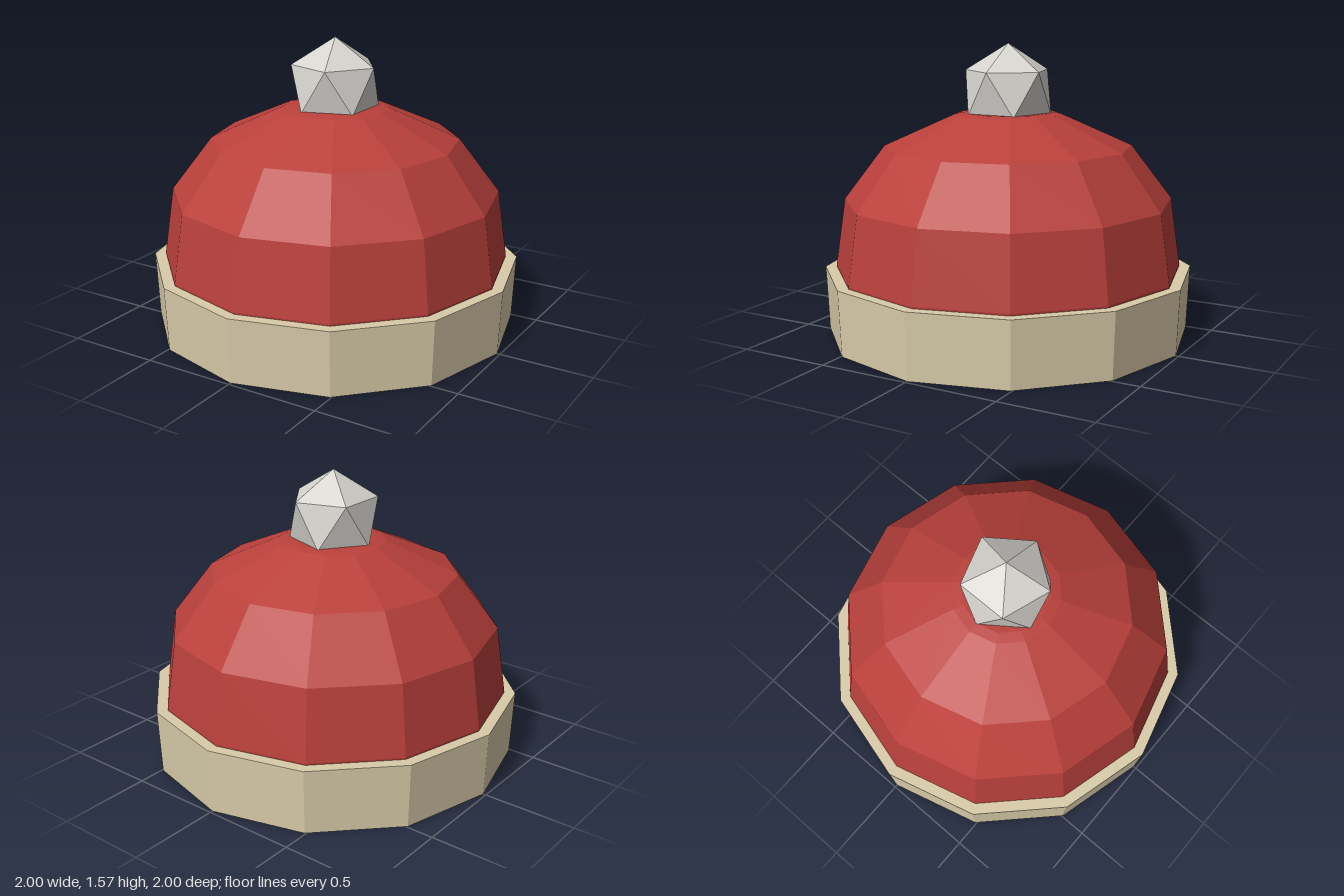
import * as THREE from 'three';

const SIDES = 12;

// Faceted normals for the low-poly look
function faceted(geometry) {
  const flat = geometry.index ? geometry.toNonIndexed() : geometry;
  flat.computeVertexNormals();
  return flat;
}

function part(name, geometry, material) {
  const mesh = new THREE.Mesh(faceted(geometry), material);
  mesh.name = name;
  return mesh;
}

function namedMaterial(name, color) {
  const material = new THREE.MeshStandardMaterial({ color });
  material.name = name;
  return material;
}

export function createModel() {
  const red = namedMaterial('red wool', 0xba403b);
  const cream = namedMaterial('cream trim', 0xd9ccaa);
  const silver = namedMaterial('pale grey', 0xd6d4ce);

  const hat = new THREE.Group();
  hat.name = 'bobbleHat';

  // Brim band, slightly wider at the top
  const band = new THREE.CylinderGeometry(1, 0.985, 0.35, SIDES);
  band.translate(0, 0.175, 0);
  hat.add(part('brimBand', band, cream));

  // Domed crown, running down inside the band
  const profile = [
    [0, 0.01], [0.9, 0.01], [0.94, 0.36], [0.885, 0.73],
    [0.665, 1.02], [0.285, 1.19], [0.23, 1.2], [0, 1.2],
  ].map(([r, y]) => new THREE.Vector2(r, y));
  hat.add(part('crown', new THREE.LatheGeometry(profile, SIDES), red));

  // Bobble: icosahedron turned to stand on a corner
  const bobble = new THREE.IcosahedronGeometry(0.26, 0);
  bobble.rotateX(-Math.atan((1 + Math.sqrt(5)) / 2));
  bobble.rotateY(Math.PI / 2);
  bobble.translate(0, 1.306, 0);
  hat.add(part('bobble', bobble, silver));

  return hat;
}
